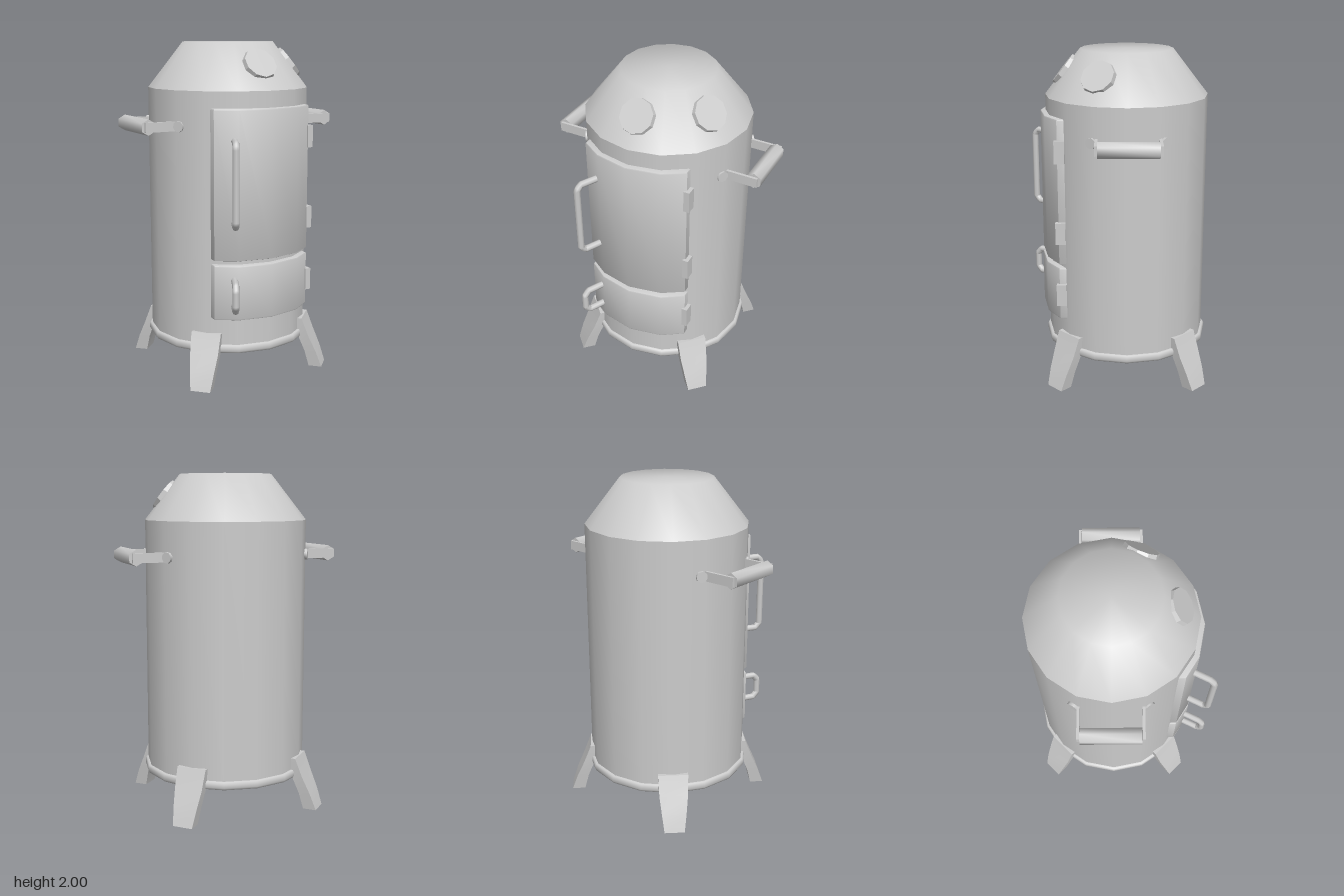
import * as THREE from 'three';
import { toCreasedNormals } from 'three/addons/utils/BufferGeometryUtils.js';

const CZ = -0.044; // z of the drum axis
const mat = new THREE.MeshStandardMaterial({ color: 0xcccccc, side: THREE.DoubleSide });

function add(parent, name, geo) {
  const mesh = new THREE.Mesh(geo, mat);
  mesh.name = name;
  parent.add(mesh);
  return mesh;
}

const lathe = (pts) =>
  new THREE.LatheGeometry(pts.map(([r, y]) => new THREE.Vector2(r, y)), 16);

// Curved door: faceted arc in plan, extruded upwards with a small bevel
function doorGeometry(y0, y1, R) {
  const b = 0.01, w = 0.32;
  const shape = new THREE.Shape();
  const a = Math.PI / 8;
  const z1 = R * Math.cos(a) + CZ, x1 = R * Math.sin(a);
  const arc = [[-w, 0.28], [w, 0.28], [w, 0.357], [x1, z1], [0, R + CZ], [-x1, z1], [-w, 0.357]];
  shape.setFromPoints(arc.map(([x, z]) => new THREE.Vector2(x, -z)));
  const geo = new THREE.ExtrudeGeometry(shape, {
    depth: y1 - y0 - 2 * b, bevelEnabled: true, bevelThickness: b,
    bevelSize: b, bevelOffset: -b, bevelSegments: 2,
  });
  geo.rotateX(-Math.PI / 2);
  geo.translate(0, y0 + b, 0);
  return toCreasedNormals(geo, 0.6);
}

// Bent bar handle with chamfered corners
function barHandleGeometry(y0, y1) {
  const c = 0.03;
  const pts = [
    [-0.222, y0, 0.42], [-0.268, y0, 0.512], [-0.28, y0 + c, 0.535],
    [-0.28, y1 - c, 0.535], [-0.268, y1, 0.512], [-0.222, y1, 0.42],
  ].map((p) => new THREE.Vector3(...p));
  const path = new THREE.CurvePath();
  for (let i = 0; i < pts.length - 1; i++) path.add(new THREE.LineCurve3(pts[i], pts[i + 1]));
  return new THREE.TubeGeometry(path, 48, 0.02, 8);
}

// Tapered foot lofted through [y, inner radius, outer radius, half width]
function footGeometry() {
  const sections = [
    [0.0, 0.54, 0.62, 0.06], [0.1, 0.515, 0.585, 0.073],
    [0.2, 0.475, 0.54, 0.085], [0.315, 0.42, 0.495, 0.09],
  ];
  const pos = [], index = [];
  for (const [y, r0, r1, w] of sections) {
    pos.push(-w, y, r0, -w, y, r1, w, y, r1, w, y, r0);
  }
  for (let s = 0; s < sections.length - 1; s++) {
    for (let k = 0; k < 4; k++) {
      const a = s * 4 + k, b = s * 4 + (k + 1) % 4;
      index.push(a, b, b + 4, a, b + 4, a + 4);
    }
  }
  const t = (sections.length - 1) * 4;
  index.push(0, 2, 1, 0, 3, 2, t, t + 1, t + 2, t, t + 2, t + 3);
  const geo = new THREE.BufferGeometry();
  geo.setAttribute('position', new THREE.Float32BufferAttribute(pos, 3));
  geo.setIndex(index);
  return toCreasedNormals(geo, 0.6);
}

export function createModel() {
  const model = new THREE.Group();
  model.name = 'drumSmoker';

  // Drum with sloped lid and base rim
  const drum = new THREE.Group();
  drum.name = 'drum';
  drum.position.z = CZ;
  model.add(drum);
  add(drum, 'shell', lathe([[0.486, 0.2], [0.486, 1.73]]));
  add(drum, 'lid', lathe([[0.486, 1.73], [0.275, 2], [0, 2]]));
  add(drum, 'bottom', lathe([[0, 0.197], [0.49, 0.197]]));
  add(drum, 'baseRim', lathe([
    [0.48, 0.195], [0.498, 0.197], [0.505, 0.21], [0.505, 0.23], [0.498, 0.243], [0.48, 0.245],
  ]));

  // Round gauges lying on the slope of the lid
  for (const angle of [0, 1.115]) {
    const gauge = new THREE.Group();
    gauge.name = 'gauge';
    gauge.rotation.y = angle;
    drum.add(gauge);
    const disc = add(gauge, 'gaugeDisc',
      toCreasedNormals(new THREE.CylinderGeometry(0.1, 0.106, 0.03, 10), 0.6));
    disc.position.set(0, 1.875, 0.368);
    disc.rotation.x = Math.atan2(0.27, 0.21);
  }

  // Feet on the diagonals
  const foot = footGeometry();
  for (let i = 0; i < 4; i++) {
    add(drum, 'foot', foot).rotation.y = Math.PI / 4 + i * Math.PI / 2;
  }

  // Doors, their handles and hinges
  add(model, 'upperDoor', doorGeometry(0.76, 1.635, 0.518));
  add(model, 'lowerDoor', doorGeometry(0.405, 0.735, 0.522));
  add(model, 'upperDoorHandle', barHandleGeometry(0.985, 1.455));
  add(model, 'lowerDoorHandle', barHandleGeometry(0.495, 0.648));
  for (const y of [1.447, 0.957, 0.567]) {
    add(model, 'hinge', new THREE.BoxGeometry(0.035, 0.132, 0.06)).position.set(0.325, y, 0.345);
  }

  // Side carrying handles: hexagonal grip on two brackets
  const grip = toCreasedNormals(
    new THREE.CylinderGeometry(0.047, 0.047, 0.34, 6).rotateX(Math.PI / 2), 1.1);
  for (const side of [1, -1]) {
    const handle = new THREE.Group();
    handle.name = side > 0 ? 'leftCarryHandle' : 'rightCarryHandle';
    handle.position.set(0, 1.525, -0.05);
    model.add(handle);
    add(handle, 'grip', grip).position.x = side * 0.61;
    for (const end of [1, -1]) {
      add(handle, 'arm', new THREE.BoxGeometry(0.19, 0.056, 0.016))
        .position.set(side * 0.54, 0, end * 0.179);
      // Round flange lying against the drum
      const flange = add(handle, 'flange',
        toCreasedNormals(new THREE.CylinderGeometry(0.033, 0.033, 0.024, 8), 0.9));
      flange.position.set(side * 0.437, 0, end * 0.207);
      flange.quaternion.setFromUnitVectors(
        new THREE.Vector3(0, 1, 0), new THREE.Vector3(side * 0.84, 0, end * 0.54).normalize());
    }
  }
  return model;
}
